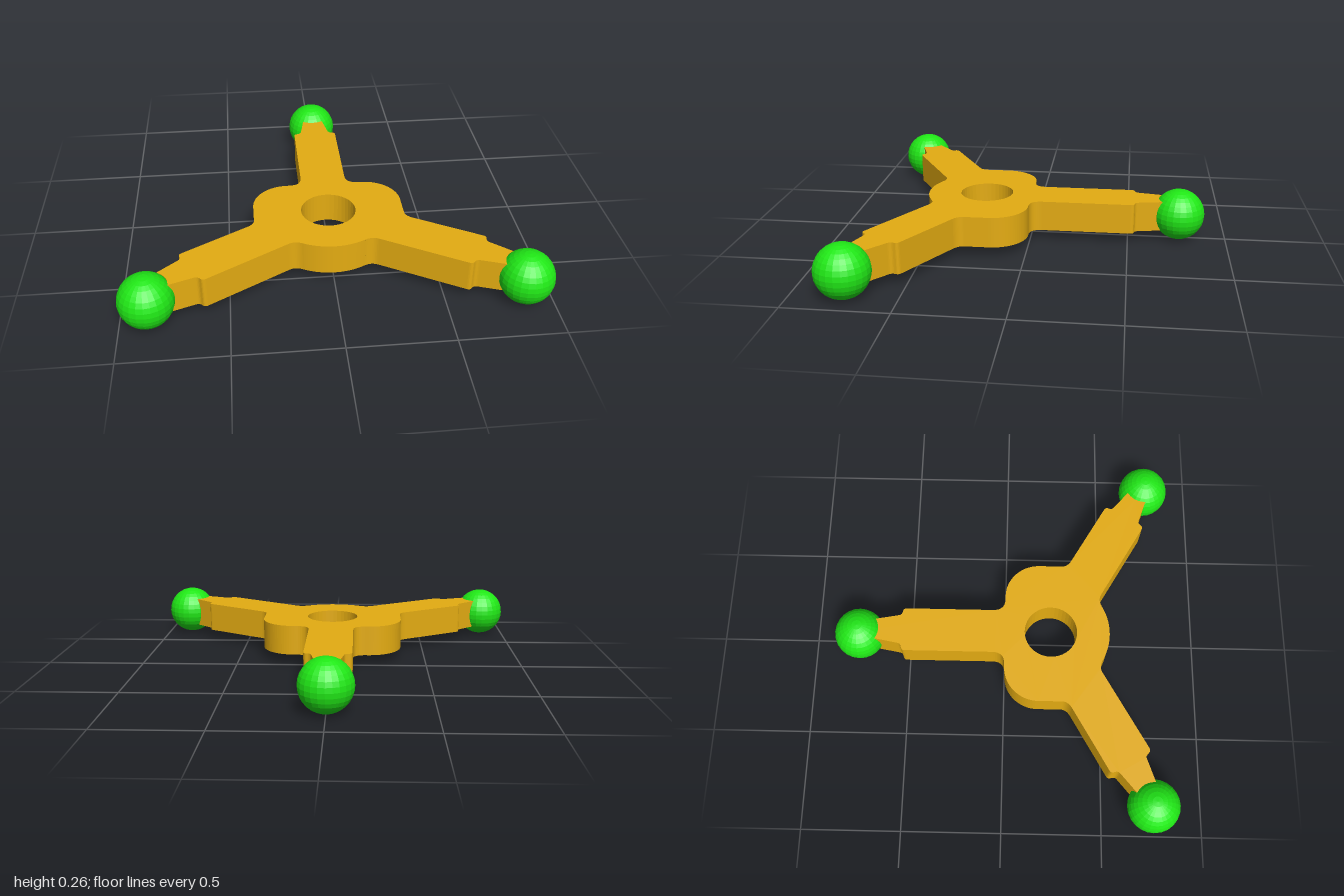
import * as THREE from 'three';

const HUB_Z = 0.245;       // centre the arms radiate from
const HOLE_Z = 0.237;
const ARM_R = 1.003;       // distance from the hub to each ball
const BALL_R = 0.13;
const TOP = 0.21, THICK = 0.155;

// Half of an arm's stepped end: x = distance from the arm axis, y = distance from the hub
function halfTip() {
  const p = new THREE.Path();
  p.moveTo(0.115, 0.756);
  p.quadraticCurveTo(0.115, 0.774, 0.098, 0.776);
  p.quadraticCurveTo(0.079, 0.779, 0.076, 0.796);
  p.lineTo(0.054, 0.915);
  p.quadraticCurveTo(0.03, 0.9, 0, 0.899);   // hollow seat for the ball
  return p.getPoints(5);
}

// Moves arm coordinates to the plan (x, z); a is the arm's turn from the back
function place(points, a) {
  const c = Math.cos(a), s = Math.sin(a);
  return points.map(({ x, y }) => new THREE.Vector2(x * c + y * s, HUB_Z - y * c + x * s));
}

export function createModel() {
  const group = new THREE.Group();
  const gold = new THREE.MeshStandardMaterial({ color: 0xe4ac12 });
  const green = new THREE.MeshStandardMaterial({ color: 0x20e816, flatShading: true });
  const turn = Math.PI * 2 / 3;

  // Both sides of the arm's end, each running from the tip's middle back to the arm
  const tipOut = halfTip().reverse();
  const tipIn = halfTip().map(v => new THREE.Vector2(-v.x, v.y));

  const shoulder = new THREE.Path();
  shoulder.moveTo(0.115, -0.06);
  shoulder.quadraticCurveTo(0.117, -0.002, 0.175, 0);
  shoulder.lineTo(0.195, 0);
  shoulder.absarc(0.195, 0.175, 0.175, -Math.PI / 2, 0, false);
  shoulder.lineTo(0.37, 0.295);
  shoulder.quadraticCurveTo(0.37, 0.322, 0.4, 0.342);

  const belly = new THREE.Path();
  belly.moveTo(0.215, 0.5);
  belly.quadraticCurveTo(0.185, 0.482, 0.151, 0.5);
  belly.absarc(0, 0.238, 0.302, Math.PI / 3, Math.PI / 2, false);

  // Right half of the outline, from the back tip round to the front of the hub
  const half = [
    ...place(tipOut, 0),
    ...shoulder.getPoints(10),
    ...place(tipIn, turn),
    ...place(tipOut, turn).slice(1),
    ...belly.getPoints(8),
  ];
  const mirrored = half.slice(1, -1).reverse().map(v => new THREE.Vector2(-v.x, v.y));

  // Flat three-armed body with a round hole
  const shape = new THREE.Shape([...half, ...mirrored]);
  shape.holes.push(new THREE.Path().absarc(0, HOLE_Z, 0.135, 0, Math.PI * 2, true));
  const bodyGeo = new THREE.ExtrudeGeometry(shape, { depth: THICK, bevelEnabled: false, curveSegments: 20 });
  bodyGeo.rotateX(Math.PI / 2).translate(0, TOP, 0);
  const body = new THREE.Mesh(bodyGeo, gold);
  body.name = 'threeArmedBody';
  group.add(body);

  // A ball on the end of each arm
  const ballGeo = new THREE.SphereGeometry(BALL_R, 24, 16);
  ['backBall', 'leftBall', 'rightBall'].forEach((name, i) => {
    const [p] = place([new THREE.Vector2(0, ARM_R)], i * turn);
    const ball = new THREE.Mesh(ballGeo, green);
    ball.name = name;
    ball.position.set(p.x, BALL_R, p.y);
    group.add(ball);
  });

  return group;
}
